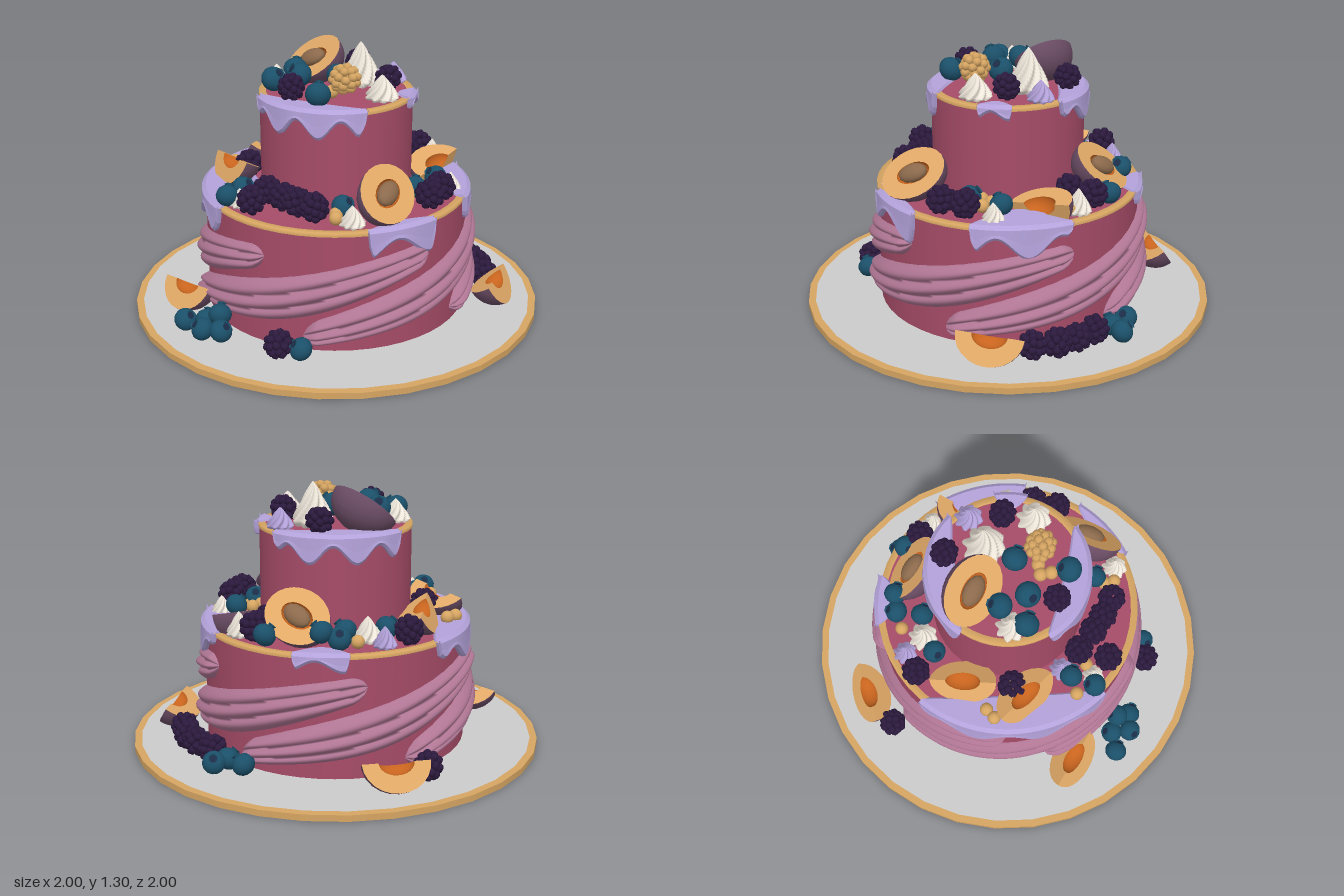
import * as THREE from 'three';
import { mergeGeometries } from 'three/addons/utils/BufferGeometryUtils.js';
import { ParametricGeometry } from 'three/addons/geometries/ParametricGeometry.js';

const RAD = Math.PI / 180;
const mat = (color) => new THREE.MeshStandardMaterial({ color, side: THREE.DoubleSide });
const M = {
  grey: mat(0xcccccc), gold: mat(0xd6a562), cake: mat(0xa64c68), drape: mat(0xb07694),
  lavender: mat(0xb3a2da), skin: mat(0x6a4c64), flesh: mat(0xe2aa68), cavity: mat(0xc8641e),
  pit: mat(0x8c6a4c), blue: mat(0x1b506a), navy: mat(0x1c2c48), black: mat(0x2c1a3e), cream: mat(0xf0e8dc),
};
const BOARD = 0.03, TIER1 = 0.62, TIER2 = 1.09;

function add(parent, name, geometry, material, x = 0, y = 0, z = 0) {
  const mesh = new THREE.Mesh(geometry, material);
  mesh.name = name;
  mesh.position.set(x, y, z);
  parent.add(mesh);
  return mesh;
}

// Cake tier: straight wall, flat top and a thin gold edge
function tier(parent, name, r, y0, y1) {
  add(parent, name, new THREE.CylinderGeometry(r, r, y1 - y0, 48), M.cake, 0, (y0 + y1) / 2 - 0.004);
  const p = [[r - 0.03, y1 - 0.01], [r - 0.03, y1], [r + 0.003, y1], [r + 0.003, y1 - 0.02]];
  add(parent, name + 'Rim', new THREE.LatheGeometry(p.map((q) => new THREE.Vector2(...q)), 48), M.gold);
}

// Icing patch: reaches onto the top of a tier and drips down its wall
function icing(parent, r, top, from, to, drop, depth, waves) {
  const geo = new ParametricGeometry((u, v, out) => {
    const a = (from + (to - from) * u) * RAD;
    const ends = Math.min(1, Math.min(u, 1 - u) * 14) ** 0.5;
    const low = top - drop * ends * (0.68 + 0.32 * Math.cos(u * waves * 2 * Math.PI + 0.6));
    const inner = r - depth * Math.sin(Math.PI * u) ** 0.7;
    const prof = [[inner, top], [inner + 0.01, top + 0.01], [r, top + 0.012], [r + 0.02, top - 0.004],
      [r + 0.022, (top + low) / 2], [r + 0.026, low + 0.015], [r + 0.015, low], [r - 0.005, low]];
    const [pr, py] = prof[Math.round(v * 7)];
    out.set(Math.sin(a) * pr, py, Math.cos(a) * pr);
  }, 48, 7);
  add(parent, 'icingDrip', geo, M.lavender);
}

// Pleated sash climbing around the lower tier
function sash(parent, endAngle) {
  const geo = new ParametricGeometry((u, v, out) => {
    const a = (endAngle - 128 * (1 - u)) * RAD;
    const ends = Math.sqrt(Math.min(1, Math.min(u, 1 - u) * 22));
    const half = (0.058 + 0.052 * Math.sin(Math.PI * u)) * ends;
    const y = 0.1 + 0.365 * u + (v - 0.5) * 2 * half + 0.006 * Math.sin(u * 9);
    const folds = Math.abs(Math.sin(3 * Math.PI * (v + 0.07 * Math.sin(u * 6) * Math.sin(Math.PI * v))));
    const bulge = Math.sqrt(Math.max(0, Math.sin(Math.PI * v))) * ends;
    const r = 0.626 + bulge * (0.032 + 0.026 * folds + 0.012 * (1 - u));
    out.set(Math.sin(a) * r, y, Math.cos(a) * r);
  }, 56, 24);
  add(parent, 'sash', geo, M.drape);
}

// Plum cut to any angle: skin, two cut faces and the stone hollow; cut side up, long axis along z
function plum(angle, len, r, withPit) {
  const g = new THREE.Group();
  g.name = withPit ? 'plumHalf' : 'plumSlice';
  const body = new THREE.Group();
  body.rotation.x = Math.PI / 2;
  g.add(body);
  const arc = (w, h) => Array.from({ length: 13 }, (_, i) => {
    const t = (i / 12 - 0.5) * Math.PI;
    return new THREE.Vector2(Math.max(0, w * Math.cos(t)), h * Math.sin(t));
  });
  const outer = arc(r, len), inner = arc(r * 0.42, len * 0.52);
  add(body, 'skin', new THREE.LatheGeometry(outer, 14, -angle / 2, angle), M.skin);
  add(body, 'hollow', new THREE.LatheGeometry(inner, 10, -angle / 2, angle), M.cavity);
  const face = new THREE.ShapeGeometry(new THREE.Shape([...outer, ...inner.slice().reverse()]));
  for (const s of [-1, 1]) add(body, 'cutFace', face, M.flesh).rotation.y = s * angle / 2 - Math.PI / 2;
  if (withPit) add(g, 'stone', new THREE.SphereGeometry(1, 12, 8), M.pit).scale.set(r * 0.36, 0.035, len * 0.45);
  return g;
}

function place(parent, obj, pos, normal, spin) {
  obj.position.set(...pos);
  obj.quaternion.setFromUnitVectors(new THREE.Vector3(0, 1, 0), new THREE.Vector3(...normal).normalize());
  obj.rotateY(spin * RAD);
  parent.add(obj);
}

// Berry made of small beads spread evenly over a ball
function beadBerry() {
  const beads = [], n = 30;
  for (let i = 0; i < n; i++) {
    const y = 1 - (2 * i + 1) / n, q = Math.sqrt(1 - y * y), a = i * 2.39996;
    beads.push(new THREE.SphereGeometry(0.3, 7, 5).translate(q * Math.cos(a) * 0.72, y * 0.78, q * Math.sin(a) * 0.72));
  }
  return mergeGeometries(beads);
}

// Piped meringue kiss with twisted ridges
function kiss() {
  return new ParametricGeometry((u, v, out) => {
    const a = u * 2 * Math.PI;
    const body = v < 0.12 ? 0.8 + 1.6 * v : 0.99 * Math.pow((1 - v) / 0.88, 0.85);
    const r = body * (0.88 + 0.14 * Math.cos(8 * (a - v * 1.6)));
    out.set(Math.sin(a) * r, v, Math.cos(a) * r);
  }, 56, 14);
}

export function createModel() {
  const cake = new THREE.Group();
  cake.name = 'tieredCake';

  // Board
  add(cake, 'board', new THREE.CylinderGeometry(1, 1, BOARD, 32), [M.gold, M.gold, M.grey], 0, BOARD / 2);
  add(cake, 'boardTop', new THREE.CircleGeometry(0.965, 32).rotateX(-Math.PI / 2), M.grey, 0, BOARD + 0.002);

  // Tiers, sashes and icing
  tier(cake, 'lowerTier', 0.635, BOARD, TIER1);
  tier(cake, 'upperTier', 0.365, TIER1 - 0.01, TIER2);
  for (let i = 0; i < 5; i++) sash(cake, -10 + 72 * i);
  [[-39, -8, 0.15, 0.06, 1], [18, 60, 0.15, 0.2, 1.6], [103, 126, 0.08, 0.1, 1], [166, 252, 0.15, 0.17, 3]]
    .forEach(([a, b, drop, depth, w]) => icing(cake, 0.635, TIER1, a, b, drop, depth, w));
  [[-124, -30, 0.13, 0.11, 3], [12, 36, 0.06, 0.07, 1], [72, 172, 0.13, 0.13, 3]]
    .forEach(([a, b, drop, depth, w]) => icing(cake, 0.365, TIER2, a, b, drop, depth, w));

  // Plum halves: position, direction of the cut face, spin
  [[[0.07, 1.195, -0.2], [-0.6, 0.68, -0.25], 5], [[-0.22, 0.74, 0.47], [-0.1, 0.7, 0.7], 110],
    [[0.48, 0.75, -0.08], [0.66, 0.68, -0.15], -20]]
    .forEach(([p, n, s]) => place(cake, plum(Math.PI, 0.17, 0.135, true), p, n, s));

  // Plum slices
  [[[0, 0.74, -0.48], [0, 1, -0.3], 112], [[-0.3, 0.74, -0.41], [-0.25, 1, -0.2], 160],
    [[-0.6, 0.165, -0.45], [-0.15, 1, -0.1], 175], [[0.51, 0.165, -0.61], [0.1, 1, -0.15], 45],
    [[0.37, 0.175, 0.71], [0.1, 1, 0.2], 108], [[0.39, 0.68, 0.34], [-0.1, 0.5, 0.85], 95]]
    .forEach(([p, n, s]) => place(cake, plum(1.55, 0.16, 0.14, false), p, n, s));

  // Bead berries: x, z on each level
  const beadGeo = beadBerry();
  const bead = (x, floor, z, r, m, i) => {
    const b = add(cake, 'beadBerry', beadGeo, m, x, floor + r * 0.95, z);
    b.scale.setScalar(r);
    b.rotation.set(i * 0.7, i * 1.3, 0);
  };
  [[TIER2, 0.065, [[-0.27, -0.05], [0.13, 0.21], [0.28, -0.08]]],
    [TIER1, 0.07, [[0.23, -0.52], [-0.21, -0.38], [-0.44, 0.04], [-0.45, 0.13], [-0.45, 0.23], [-0.56, -0.05],
      [-0.42, -0.08], [0, 0.55], [0.12, 0.53], [0.42, 0.12], [0.54, 0.11]]],
    [BOARD, 0.07, [[0.33, -0.68], [-0.7, 0.22], [0.63, 0.39], [0.66, 0.28], [0.58, 0.48], [0.5, 0.56]]]]
    .forEach(([floor, r, list]) => list.forEach(([x, z], i) => bead(x, floor, z, r, M.black, i)));
  bead(-0.1, TIER2 + 0.025, 0.13, 0.075, M.gold, 2);

  // Blueberries with a small crown: x, z and optional lift
  const ball = new THREE.SphereGeometry(1, 14, 10);
  const crown = new THREE.CylinderGeometry(0.42, 0.3, 0.2, 6, 1, true);
  const dimple = new THREE.CircleGeometry(0.36, 6).rotateX(-Math.PI / 2);
  [[TIER2, 0.06, [[-0.2, -0.22], [-0.06, -0.2, 0.02], [-0.15, -0.1, 0.03], [-0.02, 0.03, 0.02], [-0.26, 0.1]]],
    [TIER1, 0.055, [[0.34, -0.25], [0.46, -0.29], [0.2, -0.39], [-0.33, 0.3], [0.07, 0.42], [0.24, 0.42],
      [-0.44, -0.21], [-0.56, -0.2], [0.58, 0.03], [0.5, -0.22, 0.03]]],
    [BOARD, 0.055, [[-0.77, -0.3], [-0.71, -0.22], [-0.79, -0.17], [-0.75, -0.09], [-0.7, -0.14, 0.05],
      [-0.65, 0.31], [0.71, 0.07], [0.76, 0.2], [0.69, 0.17]]]]
    .forEach(([floor, r, list]) => list.forEach(([x, z, lift = 0], i) => {
      const g = new THREE.Group();
      g.name = 'blueberry';
      add(g, 'berry', ball, M.blue).scale.y = 0.9;
      add(g, 'crown', crown, M.blue, 0, 0.92);
      add(g, 'dimple', dimple, M.navy, 0, 0.9);
      g.scale.setScalar(r);
      const a = i * 2.1;
      place(cake, g, [x, floor + r * 0.9 + lift, z], [Math.sin(a), 0.9, Math.cos(a)], 0);
    }));

  // Small golden berries
  [[TIER2, [[-0.15, 0.03], [-0.12, 0.07], [-0.19, 0.06]]],
    [TIER1, [[-0.2, -0.55], [-0.15, -0.53], [0.1, 0.37], [0.16, 0.38], [0.15, 0.44], [0.4, -0.35], [-0.42, 0.33],
      [-0.38, 0.3], [-0.5, -0.27], [-0.48, -0.12], [0.5, 0.24]]]]
    .forEach(([floor, list]) => list.forEach(([x, z]) =>
      add(cake, 'goldenBerry', ball, M.gold, x, floor + 0.028, z).scale.setScalar(0.032)));

  // Meringue kisses: x, floor, z, radius, height
  const kissGeo = kiss();
  [[0.14, TIER2, 0.04, 0.105, 0.21, M.cream], [0, TIER2, 0.27, 0.085, 0.12, M.cream],
    [-0.14, TIER2, -0.25, 0.075, 0.11, M.cream], [0.27, TIER2, 0.14, 0.07, 0.1, M.lavender],
    [0.29, TIER1, -0.34, 0.075, 0.12, M.cream], [0.33, TIER1, -0.45, 0.06, 0.1, M.lavender],
    [0.52, TIER1, 0.21, 0.065, 0.12, M.cream], [-0.39, TIER1, 0.4, 0.065, 0.1, M.cream],
    [-0.53, TIER1, -0.15, 0.055, 0.09, M.cream], [-0.38, TIER1, -0.19, 0.06, 0.1, M.lavender],
    [0.25, TIER1, 0.5, 0.055, 0.09, M.cream]]
    .forEach(([x, y, z, r, h, m]) => add(cake, 'meringueKiss', kissGeo, m, x, y, z).scale.set(r, h, r));

  return cake;
}
